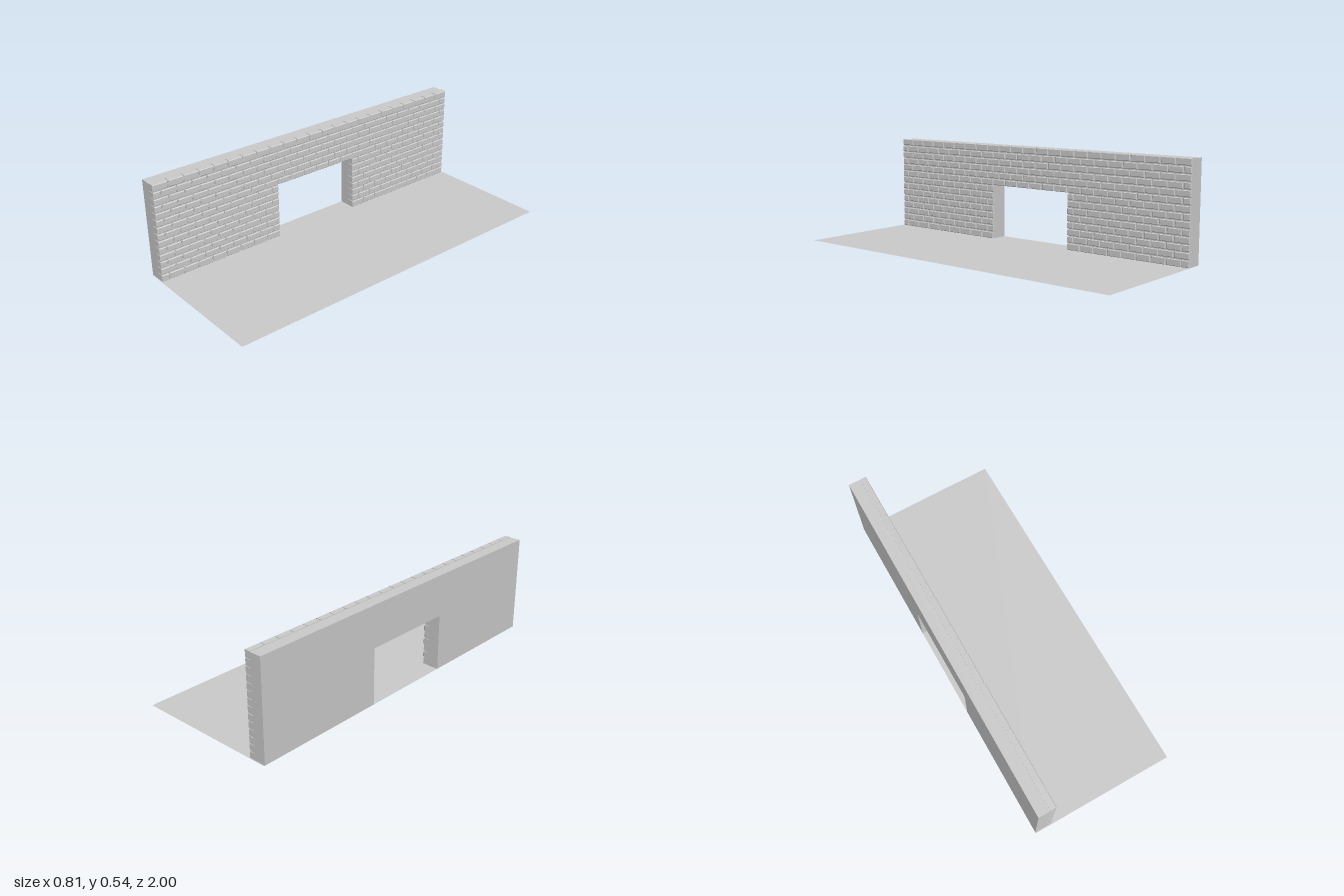
import * as THREE from 'three';
import { mergeGeometries } from 'three/addons/utils/BufferGeometryUtils.js';

const ROWS = 14, COLS = 23;
const PITCH_Y = 0.54 / ROWS, PITCH_Z = 1.99 / COLS; // brick spacing
const HALF = 1.99 / 2;
const DOOR = 3 * PITCH_Z;      // half width of the doorway
const DOOR_ROWS = 8;           // doorway height in rows
const GAP = 0.006;             // mortar joint

// Upright slab with a doorway, spanning x0..x1
function slab(x0, x1, halfLength, height, doorHalf, doorTop) {
  const s = new THREE.Shape();
  [[-halfLength, 0], [-doorHalf, 0], [-doorHalf, doorTop], [doorHalf, doorTop],
    [doorHalf, 0], [halfLength, 0], [halfLength, height], [-halfLength, height]]
    .forEach(([z, y], i) => (i ? s.lineTo(z, y) : s.moveTo(z, y)));
  const g = new THREE.ExtrudeGeometry(s, { depth: x1 - x0, bevelEnabled: false });
  return g.rotateY(Math.PI / 2).translate(x0, 0, 0);
}

// Brick from z0 to z1 with a chamfered face towards +x
function brick(z0, z1, y0, y1) {
  const back = -0.34, edge = -0.3085, front = -0.305, inset = 0.003;
  const g = new THREE.BoxGeometry(2, y1 - y0, z1 - z0, 2, 1, 1);
  const p = g.attributes.position;
  for (let i = 0; i < p.count; i++) {
    const x = p.getX(i);
    p.setX(i, x < -0.5 ? back : x > 0.5 ? front : edge);
    if (x > 0.5) {
      p.setY(i, p.getY(i) - Math.sign(p.getY(i)) * inset);
      p.setZ(i, p.getZ(i) - Math.sign(p.getZ(i)) * inset);
    }
  }
  return g.translate(0, (y0 + y1) / 2, (z0 + z1) / 2);
}

// Run of bricks in one course; staggered courses begin and end with a half brick
function course(list, row, start, end) {
  const y0 = row === 0 ? 0 : row * PITCH_Y + GAP / 2;
  const y1 = row === ROWS - 1 ? 0.54 : (row + 1) * PITCH_Y - GAP / 2;
  const offset = row % 2 ? 0 : -PITCH_Z / 2;
  for (let i = 0; i <= COLS; i++) {
    const a = Math.max(start, -HALF + offset + i * PITCH_Z);
    const b = Math.min(end, -HALF + offset + (i + 1) * PITCH_Z);
    if (b - a < 0.01) continue;
    // outer ends stay flush, inner ends leave a joint
    const z0 = a === start ? a : a + GAP / 2;
    const z1 = b === end ? b : b - GAP / 2;
    list.push(brick(z0, z1, y0, y1));
  }
}

export function createModel() {
  const group = new THREE.Group();
  const grey = new THREE.MeshStandardMaterial({ color: 0xcccccc });
  const flat = new THREE.MeshStandardMaterial({ color: 0xcccccc, flatShading: true });
  const add = (name, geometry, material) => {
    const mesh = new THREE.Mesh(geometry, material);
    mesh.name = name;
    group.add(mesh);
  };
  const doorTop = DOOR_ROWS * PITCH_Y;

  // Plain rear wall and the recessed mortar bed in front of it
  add('wall', slab(-0.404, -0.34, HALF, 0.5375, DOOR, doorTop), grey);
  add('mortar', slab(-0.34, -0.311, HALF - 0.003, 0.537, DOOR + 0.004, doorTop + 0.003), grey);

  // Brick facing in running bond around the doorway
  const bricks = [];
  for (let row = 0; row < ROWS; row++) {
    if (row < DOOR_ROWS) {
      course(bricks, row, -HALF, -DOOR);
      course(bricks, row, DOOR, HALF);
    } else {
      course(bricks, row, -HALF, HALF);
    }
  }
  add('bricks', mergeGeometries(bricks), flat);

  // Thin floor sheet
  const floor = new THREE.PlaneGeometry(0.808, 2).rotateX(-Math.PI / 2);
  add('floor', floor, new THREE.MeshStandardMaterial({ color: 0xcccccc, side: THREE.DoubleSide }));

  return group;
}
